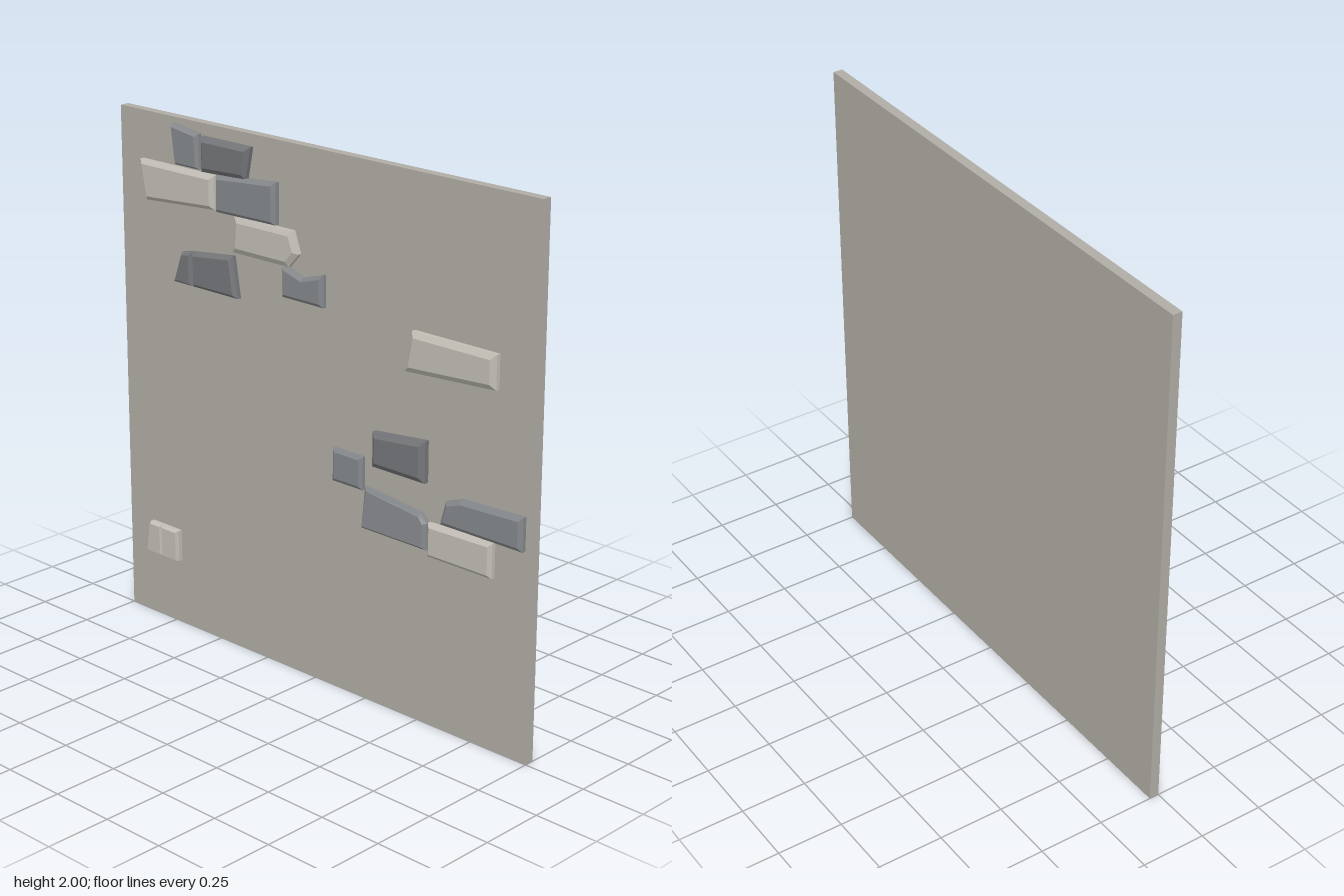
import * as THREE from 'three';

function material(name, color) {
  const m = new THREE.MeshStandardMaterial({ color, flatShading: true });
  m.name = name;
  return m;
}
const plaster = material('plaster', 0xb0aca5);
const pale = material('pale stone', 0xc2beb6);
const slate = material('slate stone', 0x85888b);
const dark = material('dark slate stone', 0x747679);

// Moves every edge of a counter-clockwise outline inward by the bevel width
function insetOutline(pts, bevel) {
  const n = pts.length;
  const lines = pts.map((p, i) => {
    const d = pts[(i + 1) % n].clone().sub(p).normalize();
    return { nx: -d.y, ny: d.x, c: d.x * p.y - d.y * p.x + bevel };
  });
  return lines.map((b, i) => {
    const a = lines[(i + n - 1) % n];
    const det = a.nx * b.ny - a.ny * b.nx;
    return new THREE.Vector2((a.c * b.ny - b.c * a.ny) / det, (a.nx * b.c - b.nx * a.c) / det);
  });
}

// Chiselled stone: straight sides, a bevelled rim and a tilted front face
function stoneGeometry(pts, depth, bevel, tiltX, tiltY) {
  const n = pts.length;
  const face = insetOutline(pts, bevel);
  const centre = pts.reduce((s, p) => s.add(p), new THREE.Vector2()).divideScalar(n);
  const front = (p) => depth + tiltX * (p.x - centre.x) + tiltY * (p.y - centre.y);
  const position = [
    ...pts.map((p) => [p.x, p.y, -0.005]),
    ...pts.map((p) => [p.x, p.y, depth * 0.55]),
    ...face.map((p) => [p.x, p.y, front(p)]),
  ];
  const index = [];
  for (let r = 0; r < 2; r++) {
    for (let i = 0; i < n; i++) {
      const a = r * n + i, b = r * n + (i + 1) % n;
      index.push(a, b, b + n, a, b + n, a + n);
    }
  }
  for (const t of THREE.ShapeUtils.triangulateShape(face, [])) index.push(...t.map((i) => i + 2 * n));
  const geo = new THREE.BufferGeometry();
  geo.setAttribute('position', new THREE.Float32BufferAttribute(position.flat(), 3));
  geo.setIndex(index);
  const flat = geo.toNonIndexed();
  flat.computeVertexNormals();
  return flat;
}

// A stone is a block whose corners are pulled in: slants move the lower left (bl),
// lower right (br), top right (tr) and top left (tl) sideways, drops and rise move
// them vertically; an extra corner can be added on the right, top or upper left.
function stone(name, mat, left, bottom, w, h, o = {}) {
  const { bl = 0, br = 0, tr = 0, tl = 0, dropR = 0, dropL = 0, rise = 0 } = o;
  const { depth = 0.03, bevel = 0.013, tiltX = 0, tiltY = 0 } = o;
  const right = left + w, top = bottom + h;
  const at = (x, y) => new THREE.Vector2(x, y);
  const pts = [at(left + bl, bottom), at(right - br, bottom + rise)];
  if (o.point) pts.push(at(right, bottom + o.point));
  pts.push(at(right - tr, top - dropR));
  if (o.notch) pts.push(at(left + w / 2, top - o.notch));
  if (o.shoulder) pts.push(at(left + o.shoulder, top - 0.01));
  pts.push(at(left + tl, top - dropL));
  const mesh = new THREE.Mesh(stoneGeometry(pts, depth, bevel, tiltX, tiltY), mat);
  mesh.name = name;
  return mesh;
}

export function createModel() {
  const model = new THREE.Group();
  model.name = 'stonePanel';

  // Plain wall slab
  const wall = new THREE.Mesh(new THREE.BoxGeometry(2, 2, 0.037), plaster);
  wall.name = 'wallSlab';
  wall.position.set(0, 1, -0.0185);
  model.add(wall);

  // Upper cluster
  model.add(
    stone('topStoneOuter', slate, -0.71, 1.83, 0.145, 0.15, { bl: 0.02, tr: 0.005, dropR: 0.02, bevel: 0.01 }),
    stone('topStoneInner', dark, -0.555, 1.825, 0.25, 0.13, { br: 0.025, rise: 0.01, bevel: 0.017, tiltY: 0.03 }),
    stone('longPaleStone', pale, -0.88, 1.67, 0.39, 0.15, { bl: 0.03, rise: 0.025, bevel: 0.015 }),
    stone('longSlateStone', slate, -0.48, 1.69, 0.3, 0.16, { rise: 0.005, dropL: 0.025 }),
    stone('pointedPaleStone', pale, -0.4, 1.555, 0.33, 0.135, { br: 0.05, point: 0.055, tr: 0.03, tl: 0.01, bevel: 0.02, depth: 0.025 }),
    stone('notchedStone', slate, -0.15, 1.44, 0.2, 0.12, { notch: 0.03, depth: 0.025 }),
  );

  // Cracked dark stone, in two pieces
  model.add(
    stone('crackedDarkOuter', dark, -0.71, 1.385, 0.105, 0.13, { tl: 0.045, tr: 0.005, dropL: 0.01, bevel: 0.01, tiltX: 0.06 }),
    stone('crackedDarkInner', dark, -0.61, 1.385, 0.235, 0.155, { bl: 0.005, tr: 0.025, dropL: 0.025, bevel: 0.013 }),
  );

  // Lower cluster
  model.add(
    stone('widePaleStone', pale, 0.435, 1.3, 0.405, 0.15, { tl: 0.03, rise: 0.025, bevel: 0.02 }),
    stone('wedgeStone', dark, 0.29, 0.915, 0.245, 0.155, { dropL: 0.025, bevel: 0.02, depth: 0.032 }),
    stone('smallStone', slate, 0.095, 0.81, 0.145, 0.125, { depth: 0.022 }),
    stone('slopedStone', slate, 0.24, 0.67, 0.305, 0.16, { point: 0.1, tr: 0.025, tl: 0.015, dropR: 0.03, depth: 0.028, tiltY: -0.06 }),
    stone('shoulderedStone', slate, 0.605, 0.785, 0.365, 0.125, { shoulder: 0.095, tl: 0.025, dropL: 0.035, bevel: 0.015, depth: 0.027 }),
    stone('lowPaleStone', pale, 0.55, 0.65, 0.29, 0.13, { dropL: 0.005, depth: 0.027 }),
  );

  // Cracked pale stone, in two pieces
  model.add(
    stone('crackedPaleOuter', pale, -0.89, 0.26, 0.09, 0.125, { tl: 0.02, tr: 0.005, bevel: 0.006, tiltX: 0.03 }),
    stone('crackedPaleInner', pale, -0.805, 0.26, 0.09, 0.125, { bl: 0.005, bevel: 0.006 }),
  );
  return model;
}
